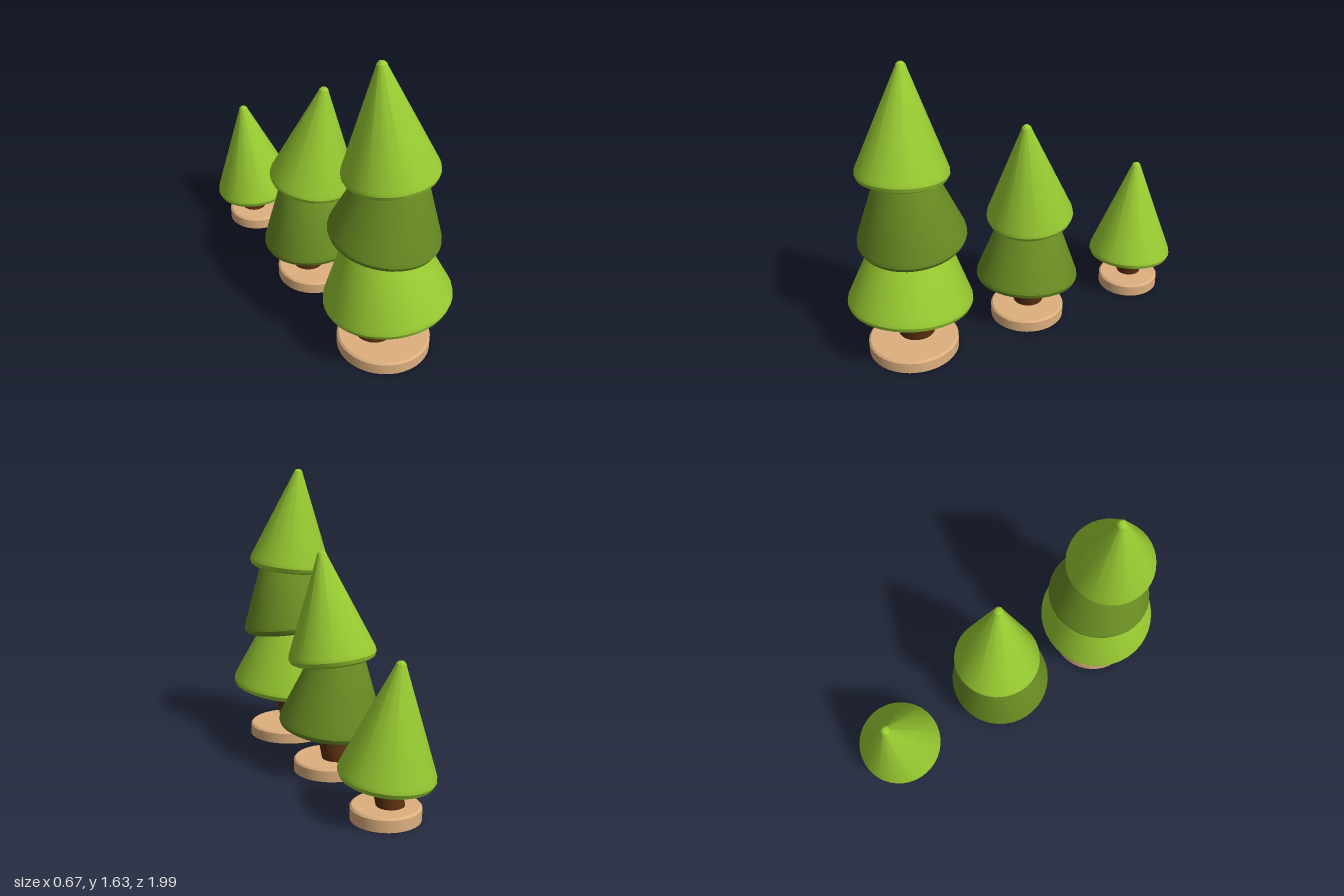
import * as THREE from 'three';
import { toCreasedNormals } from 'three/addons/utils/BufferGeometryUtils.js';

const UP = new THREE.Vector3(0, 1, 0);
const material = (color) => new THREE.MeshStandardMaterial({ color });

export function createModel() {
  const light = material(0x9acd32);
  const dark = material(0x6b8e23);
  const bark = material(0x5c3010);
  const wood = material(0xdeb07f);

  // Turned part: a profile of [radius, height] pairs, its axis leaning by (leanX, leanZ)
  function turned(name, profile, mat, position, leanX = 0, leanZ = 0) {
    const points = profile.map(([r, h]) => new THREE.Vector2(r, h));
    const geometry = toCreasedNormals(new THREE.LatheGeometry(points, 40), 0.45);
    const mesh = new THREE.Mesh(geometry, mat);
    mesh.name = name;
    mesh.position.set(...position);
    mesh.quaternion.setFromUnitVectors(UP, new THREE.Vector3(leanX, 1, leanZ).normalize());
    return mesh;
  }

  // Bevelled lower rim shared by every foliage tier
  const rim = (r) => [[0, -0.035], [r - 0.03, -0.035], [r - 0.01, -0.024], [r, -0.002], [r - 0.003, 0.022]];
  const frustum = (r, topR, h) => [...rim(r), [topR, h], [0, h]];
  const cone = (r) => [...rim(r), [0.03, 0.53], [0.024, 0.548], [0.013, 0.559], [0, 0.562]];

  // Tiers run bottom to top; lean is the sign of the tilt, and no topR means a pointed tip
  const trees = [
    { name: 'largeTree', baseZ: 0.655, baseR: 0.247, trunkR: 0.1, trunkX: -0.05, trunkZ: 0.62, trunkTop: 0.33,
      tiers: [
        { mat: light, r: 0.335, y: 0.325, z: 0.66, x: 0, lean: -1, topR: 0.185, h: 0.37 },
        { mat: dark, r: 0.287, y: 0.7, z: 0.625, x: -0.012, lean: 1, topR: 0.147, h: 0.38 },
        { mat: light, r: 0.24, y: 1.073, z: 0.655, x: -0.013, lean: -1 },
      ] },
    { name: 'mediumTree', baseZ: -0.05, baseR: 0.21, trunkR: 0.085, trunkX: -0.04, trunkZ: -0.073, trunkTop: 0.28,
      tiers: [
        { mat: dark, r: 0.287, y: 0.272, z: -0.047, x: -0.008, lean: -1, topR: 0.14, h: 0.39 },
        { mat: light, r: 0.24, y: 0.655, z: -0.065, x: -0.008, lean: 1 },
      ] },
    { name: 'smallTree', baseZ: -0.755, baseR: 0.175, trunkR: 0.07, trunkX: -0.03, trunkZ: -0.772, trunkTop: 0.22,
      tiers: [{ mat: light, r: 0.24, y: 0.225, z: -0.757, x: -0.013, lean: -1 }] },
  ];

  const model = new THREE.Group();
  model.name = 'treeGroup';
  for (const t of trees) {
    const tree = new THREE.Group();
    tree.name = t.name;

    // Round wooden stand with a softened top edge
    const R = t.baseR;
    tree.add(turned('stand', [[0, 0], [R, 0], [R, 0.06], [R - 0.01, 0.07], [0, 0.07]], wood, [-0.01, 0, t.baseZ]));

    // Leaning trunk, sunk slightly into the stand and the lowest tier
    const r = t.trunkR;
    const length = t.trunkTop - 0.05;
    tree.add(turned('trunk', [[0, 0], [r, 0], [r, length], [0, length]], bark,
      [t.trunkX, 0.05, t.trunkZ], 0.17, 0.08));

    // Foliage tiers tilted alternately
    t.tiers.forEach((f, i) => {
      const profile = f.topR ? frustum(f.r, f.topR, f.h) : cone(f.r);
      tree.add(turned(`foliageTier${i + 1}`, profile, f.mat, [f.x, f.y, f.z], 0.082 * f.lean, 0.082 * f.lean));
    });
    model.add(tree);
  }
  return model;
}
